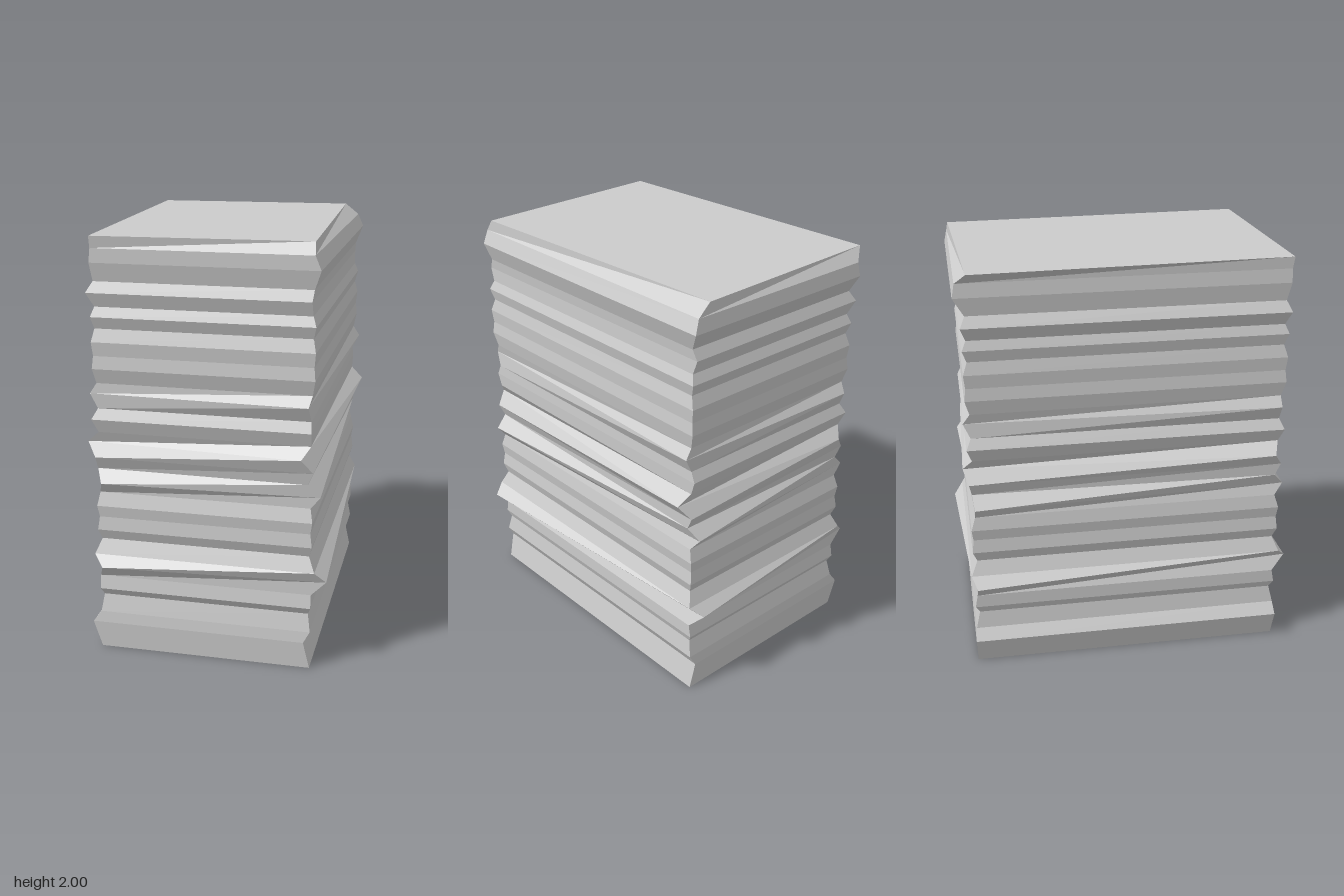
import * as THREE from 'three';

// Horizontal sections, bottom to top: y, half width, half depth, then optional x shift, z shift, twist
const lower = [
  [0, 0.51, 0.757],
  [0.13, 0.515, 0.763, -0.035],
  [0.185, 0.51, 0.757],
  [0.27, 0.497, 0.737],
  [0.305, 0.51, 0.757],
  [0.37, 0.51, 0.745],
  [0.44, 0.53, 0.78, 0, 0, 0.066],
  [0.49, 0.527, 0.768],
  [0.56, 0.497, 0.737],
  [0.61, 0.512, 0.757],
  [0.675, 0.503, 0.75],
  [0.73, 0.512, 0.757],
  [0.795, 0.5, 0.737],
  [0.85, 0.513, 0.759, 0, 0, 0.042],
  [0.91, 0.498, 0.737, 0, 0, -0.016],
  [0.97, 0.512, 0.757],
];
const upper = [
  [1.035, 0.51, 0.75, 0, 0, -0.066],
  [1.09, 0.498, 0.737],
  [1.155, 0.512, 0.76, -0.012],
  [1.205, 0.497, 0.737],
  [1.275, 0.51, 0.755, 0, 0, -0.03],
  [1.325, 0.5, 0.737],
  [1.395, 0.513, 0.757],
  [1.455, 0.507, 0.75],
  [1.52, 0.513, 0.757],
  [1.58, 0.5, 0.737],
  [1.635, 0.513, 0.757],
  [1.68, 0.497, 0.737],
  [1.745, 0.512, 0.76, -0.018],
  [1.795, 0.5, 0.737],
  [1.88, 0.52, 0.771, 0.01, -0.016],
  [1.945, 0.503, 0.765, 0, -0.01],
  [2, 0.502, 0.745, -0.035, -0.003, 0.043],
];

// Four corners of one section, counter-clockwise from above
function corners([y, hx, hz, cx = 0, cz = 0, twist = 0]) {
  const up = new THREE.Vector3(0, 1, 0);
  return [[-1, 1], [1, 1], [1, -1], [-1, -1]].map(([sx, sz]) =>
    new THREE.Vector3(sx * hx, 0, sz * hz).applyAxisAngle(up, twist).add(new THREE.Vector3(cx, y, cz)));
}

export function createModel() {
  const rings = [...lower, ...upper].map(corners);
  const points = [];
  const quad = (a, b, c, d) => points.push(a, b, c, a, c, d);

  // Pleated walls
  for (let i = 0; i + 1 < rings.length; i++) {
    const lo = rings[i], hi = rings[i + 1];
    for (let k = 0; k < 4; k++) {
      const n = (k + 1) % 4;
      quad(lo[k], lo[n], hi[n], hi[k]);
    }
  }
  // Bottom and top
  quad(...[...rings[0]].reverse());
  quad(...rings[rings.length - 1]);

  const geometry = new THREE.BufferGeometry().setFromPoints(points);
  geometry.computeVertexNormals();
  const stack = new THREE.Mesh(geometry, new THREE.MeshStandardMaterial({ color: 0xcccccc, flatShading: true }));
  stack.name = 'pleatedStack';

  const group = new THREE.Group();
  group.name = 'stack';
  group.add(stack);
  return group;
}
